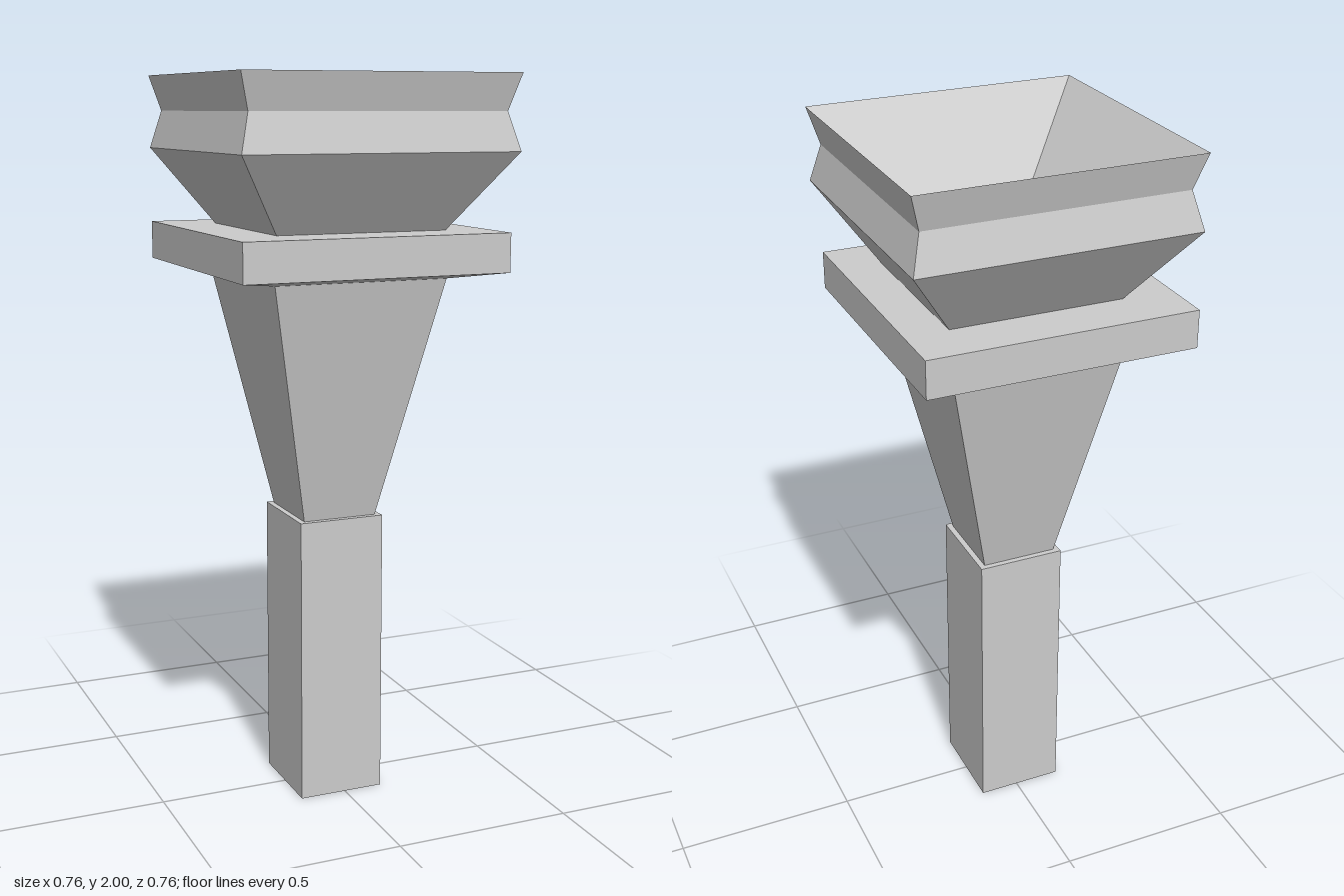
import * as THREE from 'three';

const material = new THREE.MeshStandardMaterial({ color: 0xcccccc, flatShading: true });

// Closed solid through rectangular rings [y, xMin, xMax, zMin, zMax], capped at both ends.
function loft(name, rings) {
  const loops = rings.map(([y, x0, x1, z0, z1]) => [[x0, y, z1], [x1, y, z1], [x1, y, z0], [x0, y, z0]]);
  const positions = [];
  const quad = (a, b, c, d) => positions.push(...a, ...b, ...c, ...a, ...c, ...d);
  for (let i = 0; i < loops.length - 1; i++) {
    for (let k = 0; k < 4; k++) {
      const n = (k + 1) % 4;
      quad(loops[i][k], loops[i][n], loops[i + 1][n], loops[i + 1][k]);
    }
  }
  const first = loops[0], last = loops[loops.length - 1];
  quad(first[3], first[2], first[1], first[0]);
  quad(last[0], last[1], last[2], last[3]);
  const geometry = new THREE.BufferGeometry();
  geometry.setAttribute('position', new THREE.Float32BufferAttribute(positions, 3));
  geometry.computeVertexNormals();
  const mesh = new THREE.Mesh(geometry, material);
  mesh.name = name;
  return mesh;
}

// Square ring centred on the axis
const square = (y, h) => [y, -h, h, -h, h];

export function createModel() {
  const group = new THREE.Group();
  group.name = 'pedestalBowl';

  // Straight lower post
  group.add(loft('post', [
    [0, -0.132, 0.111, -0.132, 0.132],
    [0.805, -0.132, 0.111, -0.132, 0.132],
  ]));

  // Flaring neck with the flat plate on top
  group.add(loft('neckAndPlate', [
    [0.805, -0.116, 0.095, -0.116, 0.116],
    [1.47, -0.249, 0.238, -0.252, 0.252],
    [1.492, -0.381, 0.357, -0.381, 0.381],
    [1.596, -0.381, 0.357, -0.381, 0.381],
  ]));

  // Bowl: sloped base, notched rim, then the hollow inside down to its floor
  group.add(loft('bowl', [
    square(1.596, 0.239),
    square(1.802, 0.381),
    square(1.904, 0.354),
    square(2, 0.381),
    square(1.76, 0.146),
  ]));

  return group;
}
